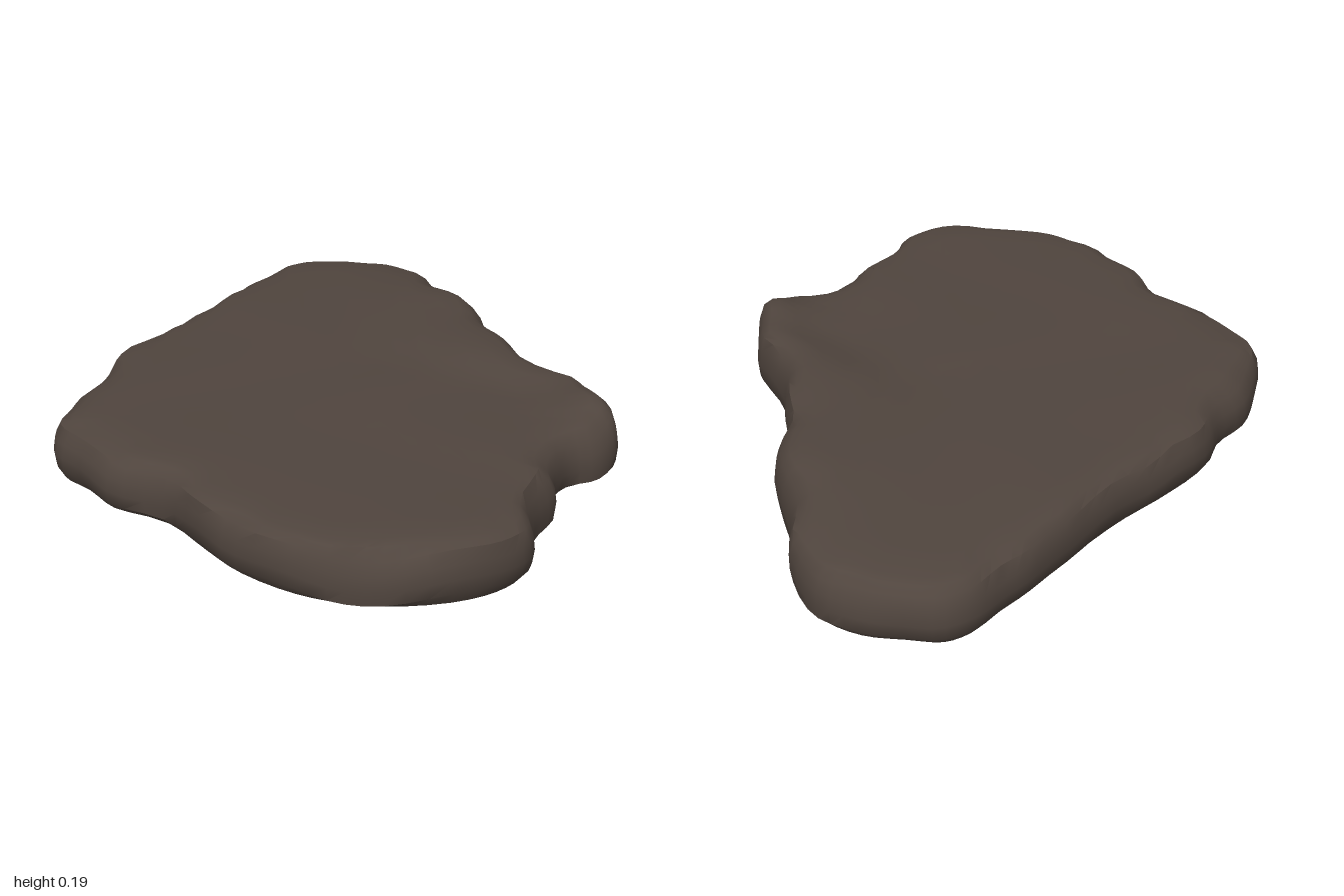
import * as THREE from 'three';
import { toCreasedNormals } from 'three/addons/utils/BufferGeometryUtils.js';

// Plan outline of the slab as x, z pairs, clockwise from the back
const OUTLINE = [
  [0, -1], [0.1, -1], [0.2, -0.96], [0.29, -0.85], [0.33, -0.72], [0.4, -0.57], [0.45, -0.43],
  [0.44, -0.33], [0.49, -0.2], [0.54, -0.06], [0.64, 0.08], [0.68, 0.2], [0.695, 0.31], [0.64, 0.39],
  [0.56, 0.43], [0.505, 0.53], [0.5, 0.6], [0.44, 0.7], [0.41, 0.86], [0.35, 0.93], [0.25, 0.98],
  [0.1, 1], [-0.02, 0.98], [-0.13, 0.93], [-0.25, 0.83], [-0.33, 0.72], [-0.42, 0.59], [-0.55, 0.51],
  [-0.62, 0.41], [-0.69, 0.33], [-0.7, 0.2], [-0.68, 0.07], [-0.62, -0.06], [-0.6, -0.18],
  [-0.52, -0.32], [-0.42, -0.46], [-0.33, -0.62], [-0.25, -0.78], [-0.2, -0.86], [-0.15, -0.95], [-0.09, -0.995],
];
const CENTRE = new THREE.Vector3(0, 0, 0.1);
const SEGMENTS = 120;

// Cross-section from underside to top: inset from outline, height share, share of the way to the centre
const SECTION = [
  [0.03, 0, 1], [0.03, 0, 0.6], [0.03, 0, 0.25], [0.025, 0, 0],
  [0.006, 0.14, 0], [0, 0.38, 0], [0.003, 0.62, 0], [0.014, 0.84, 0], [0.036, 0.96, 0],
  [0.06, 1, 0], [0.06, 1, 0.1], [0.06, 1, 0.22], [0.06, 1, 0.36], [0.06, 1, 0.52], [0.06, 1, 0.7],
  [0.06, 1, 0.86], [0.06, 1, 1],
];

const step = (v, a, b) => THREE.MathUtils.smoothstep(v, a, b);
const lump = (x, z, f) => Math.sin(f * x + 1.3 * Math.sin(f * 0.6 * z)) * Math.cos(f * 0.8 * z - 0.7);

// Underside tilts very slightly, lowest at the back right
const floorY = (x, z) => 0.015 * Math.max(step(-x, -0.1, 0.65), step(z, 0.15, 0.4));

// Top: nearly flat, raised behind a diagonal fold, with a knob on the left spur
function topY(x, z) {
  const fold = (x - 0.1) * 0.66 - (z + 0.15) * 0.75;
  const raised = 0.026 * step(fold, 0, 0.16) * step(x, 0, 0.32) * step(z, -0.95, -0.5);
  const knob = 0.03 * Math.exp(-((x - 0.64) ** 2 + (z - 0.25) ** 2) / 0.008);
  return 0.154 + raised + knob - 0.012 * step(-z, 0.6, 1) + 0.003 * lump(x, z, 9);
}

function slabGeometry() {
  const curve = new THREE.CatmullRomCurve3(OUTLINE.map(([x, z]) => new THREE.Vector3(x, 0, z)), true);
  const rings = SECTION.map(([inset, share, inward]) => {
    const ring = [];
    for (let i = 0; i < SEGMENTS; i++) {
      const p = curve.getPoint(i / SEGMENTS);
      const t = curve.getTangent(i / SEGMENTS);
      // Chipped rim: bevel width and side wall vary round the edge
      const chip = 1 + 0.35 * lump(p.x, p.z, 17) + 0.6 * step(-p.x, 0.4, 0.7);
      const dent = 0.008 * share * (1 - inward) * (1 + lump(p.x, p.z, 23));
      const cut = (share > 0.5 ? inset * chip : inset) + dent;
      p.x -= t.z * cut;
      p.z += t.x * cut;
      p.lerp(CENTRE, inward);
      const low = floorY(p.x, p.z);
      const sway = share > 0.1 && share < 0.9 ? 0.012 * lump(p.x, p.z, 13) : 0;
      p.y = low + (topY(p.x, p.z) - low) * share + sway;
      ring.push(p);
    }
    return ring;
  });

  const positions = [];
  const face = (...corners) => corners.forEach((c) => positions.push(c.x, c.y, c.z));
  for (let r = 0; r < rings.length - 1; r++) {
    for (let i = 0; i < SEGMENTS; i++) {
      const j = (i + 1) % SEGMENTS;
      const [a, b, c, d] = [rings[r][i], rings[r][j], rings[r + 1][i], rings[r + 1][j]];
      if (r > 0) face(a, c, b);
      if (r < rings.length - 2) face(b, c, d);
      else continue;
    }
  }
  const geometry = new THREE.BufferGeometry();
  geometry.setAttribute('position', new THREE.Float32BufferAttribute(positions, 3));
  return toCreasedNormals(geometry, 0.7);
}

export function createModel() {
  const stone = new THREE.MeshStandardMaterial({ color: 0x50453e });
  stone.name = 'darkBrownStone';
  const slab = new THREE.Mesh(slabGeometry(), stone);
  slab.name = 'stoneSlab';
  const model = new THREE.Group();
  model.name = 'flatRock';
  model.add(slab);
  return model;
}
